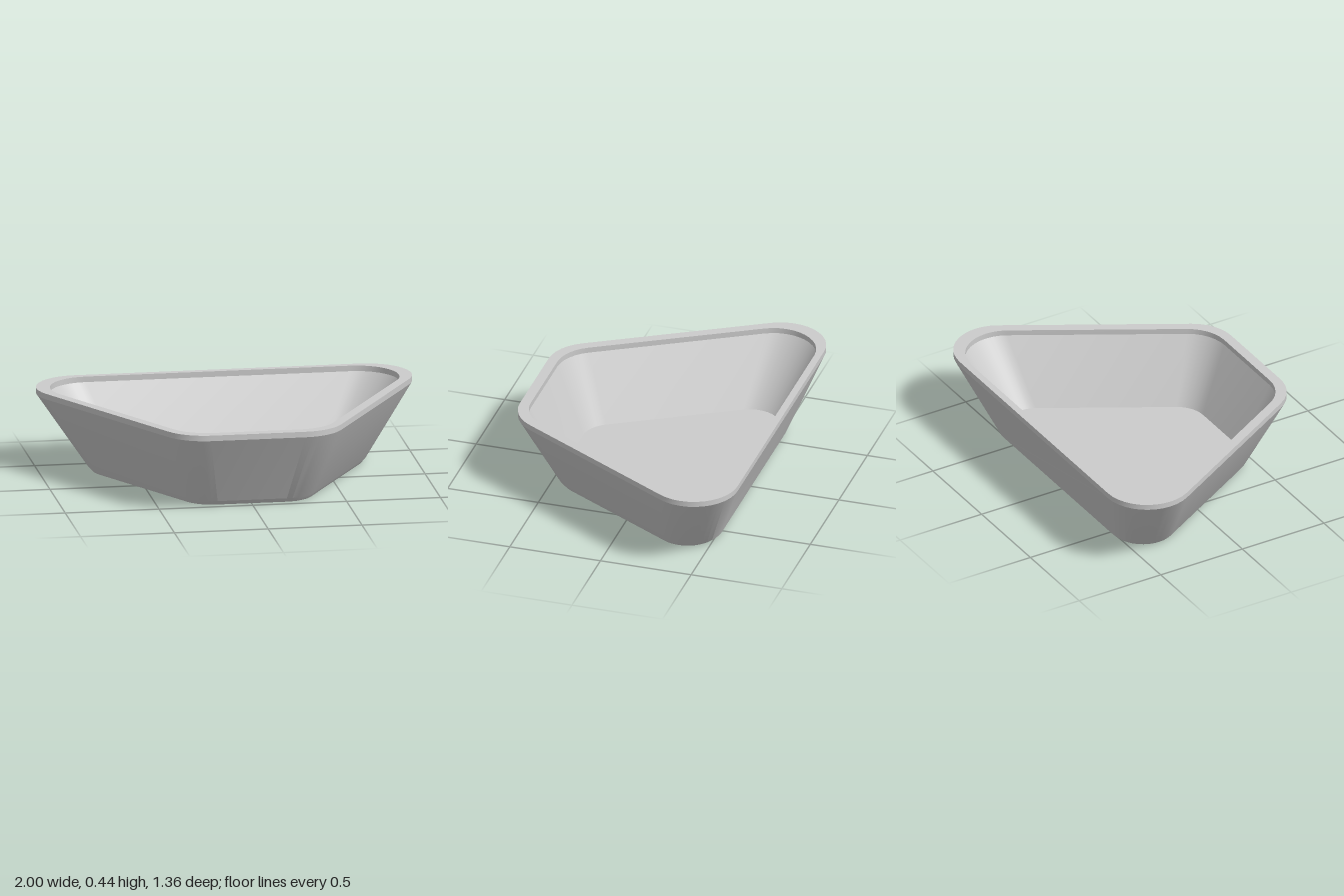
import * as THREE from 'three';
import { toCreasedNormals } from 'three/addons/utils/BufferGeometryUtils.js';

const DEG = Math.PI / 180;

// Outline of a triangle with a cut front tip and rounded corners.
// back, side and front are the distances of the straight edges from the axis.
function outline({ y, back, side, front, r }) {
  const cornerX = (z) => (side - r - z * Math.sin(30 * DEG)) / Math.cos(30 * DEG);
  const zBack = r - back, zFront = front - r;
  const xBack = cornerX(zBack), xFront = cornerX(zFront);
  const corners = [
    [xBack, zBack, -90, 30],
    [xFront, zFront, 30, 90],
    [-xFront, zFront, 90, 150],
    [-xBack, zBack, 150, 270],
  ];
  const points = [];
  for (const [cx, cz, from, to] of corners) {
    for (let a = from; a <= to; a += 10) {
      points.push([cx + r * Math.cos(a * DEG), y, cz + r * Math.sin(a * DEG)]);
    }
  }
  return points;
}

// Skin through successive outlines, closed by a fan at each end.
function loft(sections) {
  const rings = sections.map(outline);
  const n = rings[0].length, last = rings.length - 1;
  const start = [0, sections[0].y, 0], end = [0, sections[last].y, 0];
  const pos = [];
  const tri = (a, b, c) => pos.push(...a, ...b, ...c);
  for (let j = 0; j < n; j++) {
    const k = (j + 1) % n;
    tri(start, rings[0][j], rings[0][k]);
    for (let i = 0; i < last; i++) {
      const lower = rings[i], upper = rings[i + 1];
      tri(lower[j], upper[j], lower[k]);
      tri(lower[k], upper[j], upper[k]);
    }
    tri(rings[last][j], end, rings[last][k]);
  }
  const geometry = new THREE.BufferGeometry();
  geometry.setAttribute('position', new THREE.Float32BufferAttribute(pos, 3));
  return toCreasedNormals(geometry, 0.3);
}

export function createModel() {
  const group = new THREE.Group();
  group.name = 'tray';

  const bowl = new THREE.Mesh(
    loft([
      // chamfered foot and sloping outer wall
      { y: 0, back: 0.505, side: 0.471, front: 0.455, r: 0.165 },
      { y: 0.025, back: 0.53, side: 0.49, front: 0.48, r: 0.18 },
      { y: 0.405, back: 0.68, side: 0.678, front: 0.68, r: 0.24 },
      // upright band and flat rim
      { y: 0.435, back: 0.68, side: 0.678, front: 0.68, r: 0.24 },
      { y: 0.435, back: 0.643, side: 0.626, front: 0.626, r: 0.225 },
      // inner lip, sloping inner wall and floor
      { y: 0.405, back: 0.643, side: 0.626, front: 0.626, r: 0.225 },
      { y: 0.05, back: 0.495, side: 0.469, front: 0.465, r: 0.16 },
    ]),
    new THREE.MeshStandardMaterial({ color: 0xcccccc })
  );
  bowl.name = 'bowl';
  group.add(bowl);
  return group;
}
